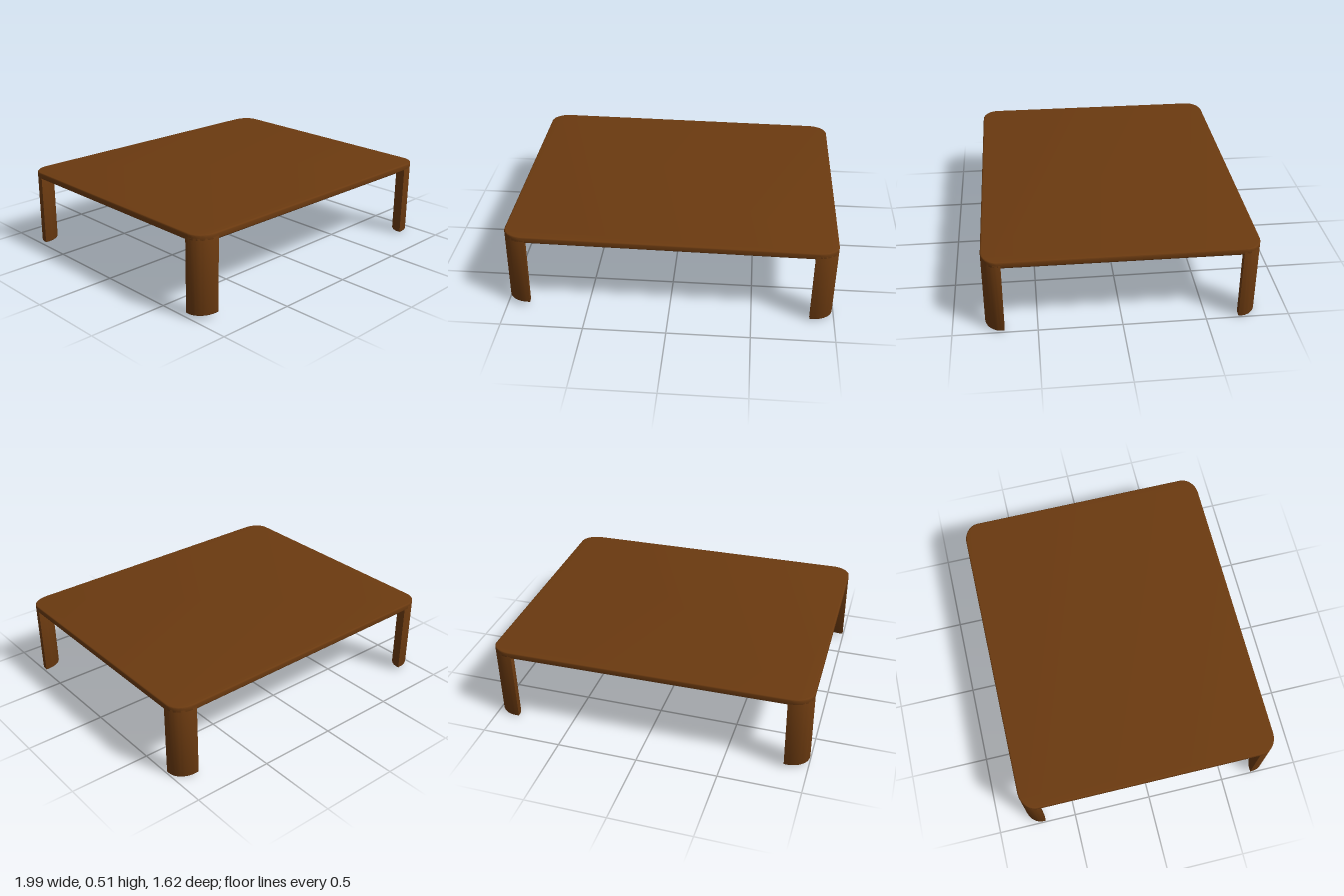
import * as THREE from 'three';
import { toCreasedNormals } from 'three/addons/utils/BufferGeometryUtils.js';

const HALF_X = 0.995, HALF_Z = 0.81, HEIGHT = 0.482, TOP_THICK = 0.04;
const LEG_X = 0.14, LEG_Z = 0.115, ROUND_X = 0.12, ROUND_Z = 0.1;

// Elliptical quarter turn from (x0, y0) to (x1, y1) around the sharp corner (cx, cy)
function roundCorner(shape, x0, y0, cx, cy, x1, y1) {
  const k = 0.552;
  shape.bezierCurveTo(
    x0 + (cx - x0) * k, y0 + (cy - y0) * k,
    x1 + (cx - x1) * k, y1 + (cy - y1) * k, x1, y1);
}

// Upright slab from an outline, with small rounded edges, spanning y0 to y1
function slab(shape, y0, y1, bevel) {
  const geo = new THREE.ExtrudeGeometry(shape, {
    depth: y1 - y0 - 2 * bevel, curveSegments: 16,
    bevelThickness: bevel, bevelSize: bevel, bevelOffset: -bevel, bevelSegments: 3,
  });
  geo.rotateX(-Math.PI / 2);
  geo.translate(0, y0 + bevel, 0);
  return toCreasedNormals(geo, 0.6);
}

// Rectangle with four rounded corners
function topOutline() {
  const s = new THREE.Shape();
  const X = HALF_X, Z = HALF_Z, a = ROUND_X, b = ROUND_Z;
  s.moveTo(-X + a, -Z);
  s.lineTo(X - a, -Z);
  roundCorner(s, X - a, -Z, X, -Z, X, -Z + b);
  s.lineTo(X, Z - b);
  roundCorner(s, X, Z - b, X, Z, X - a, Z);
  s.lineTo(-X + a, Z);
  roundCorner(s, -X + a, Z, -X, Z, -X, Z - b);
  s.lineTo(-X, -Z + b);
  roundCorner(s, -X, -Z + b, -X, -Z, -X + a, -Z);
  return s;
}

// Lens-like leg section: the outer and the inner corner are both rounded
function legOutline(sx, sz) {
  const s = new THREE.Shape();
  const ox = sx * HALF_X, oz = sz * HALF_Z;
  const ix = ox - sx * LEG_X, iz = oz - sz * LEG_Z;
  const a = sx * ROUND_X, b = sz * ROUND_Z;
  s.moveTo(ix, oz);
  s.lineTo(ox - a, oz);
  roundCorner(s, ox - a, oz, ox, oz, ox, oz - b);
  s.lineTo(ox, iz);
  s.lineTo(ix + a, iz);
  roundCorner(s, ix + a, iz, ix, iz, ix, iz + b);
  s.lineTo(ix, oz);
  return s;
}

export function createModel() {
  const model = new THREE.Group();
  model.name = 'lowTable';
  const wood = new THREE.MeshStandardMaterial({ color: 0x6b3a10 });

  const table = new THREE.Group();
  table.name = 'table';
  model.add(table);

  const add = (name, geo) => {
    const mesh = new THREE.Mesh(geo, wood);
    mesh.name = name;
    table.add(mesh);
  };

  // Thin top
  add('tableTop', slab(topOutline(), HEIGHT - TOP_THICK, HEIGHT, 0.008));

  // Four corner legs, let into the top
  for (const sx of [-1, 1]) {
    for (const sz of [-1, 1]) {
      const name = (sz > 0 ? 'front' : 'back') + (sx > 0 ? 'Left' : 'Right') + 'Leg';
      add(name, slab(legOutline(sx, -sz), 0, HEIGHT - 0.014, 0.006));
    }
  }

  // The table leans very slightly towards its left and back
  table.rotation.set(-0.003, 0, -0.0103);
  table.position.set(-0.0025, 0.0127, -0.0007);
  return model;
}
